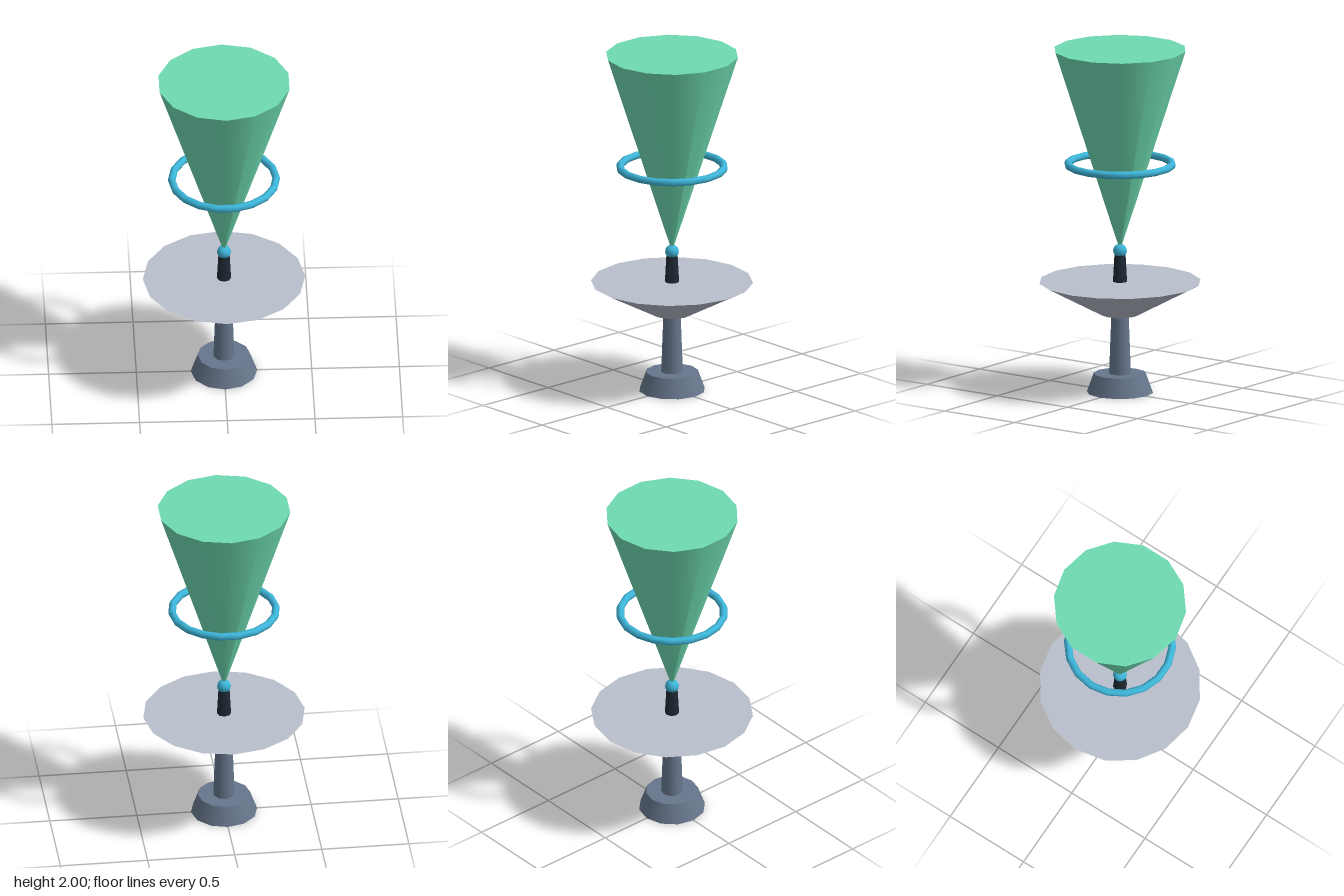
import * as THREE from 'three';

const mat = (name, color) => {
  const m = new THREE.MeshStandardMaterial({ color });
  m.name = name;
  return m;
};

export function createModel() {
  const steel = mat('slate steel', 0x67768c);
  const pale = mat('pale grey', 0xb8c0cc);
  const dark = mat('dark metal', 0x1e2933);
  const cyan = mat('cyan', 0x3db6da);
  const green = mat('beam green', 0x6edbb1);

  const group = new THREE.Group();
  const add = (name, geometry, material, y) => {
    const mesh = new THREE.Mesh(geometry, material);
    mesh.name = name;
    mesh.position.y = y;
    group.add(mesh);
    return mesh;
  };
  // Tapered round part standing between two heights
  const taper = (name, material, y0, r0, y1, r1, sides) =>
    add(name, new THREE.CylinderGeometry(r1, r0, y1 - y0, sides), material, (y0 + y1) / 2);

  // Stand
  taper('base', steel, 0, 0.19, 0.11, 0.15, 12);
  taper('post', steel, 0.11, 0.062, 0.44, 0.05, 10);

  // Dish with its feed horn and emitter
  taper('dish', pale, 0.455, 0.11, 0.645, 0.463, 16);
  taper('feedHorn', dark, 0.6, 0.043, 0.805, 0.032, 8);
  add('emitter', new THREE.SphereGeometry(0.04, 12, 8), cyan, 0.825);

  // Signal beam widening upward, with a ring around it
  taper('beam', green, 0.825, 0, 2, 0.38, 14);
  const ring = add('ring', new THREE.TorusGeometry(0.298, 0.022, 8, 18), cyan, 1.33);
  ring.rotation.x = Math.PI / 2;

  return group;
}
